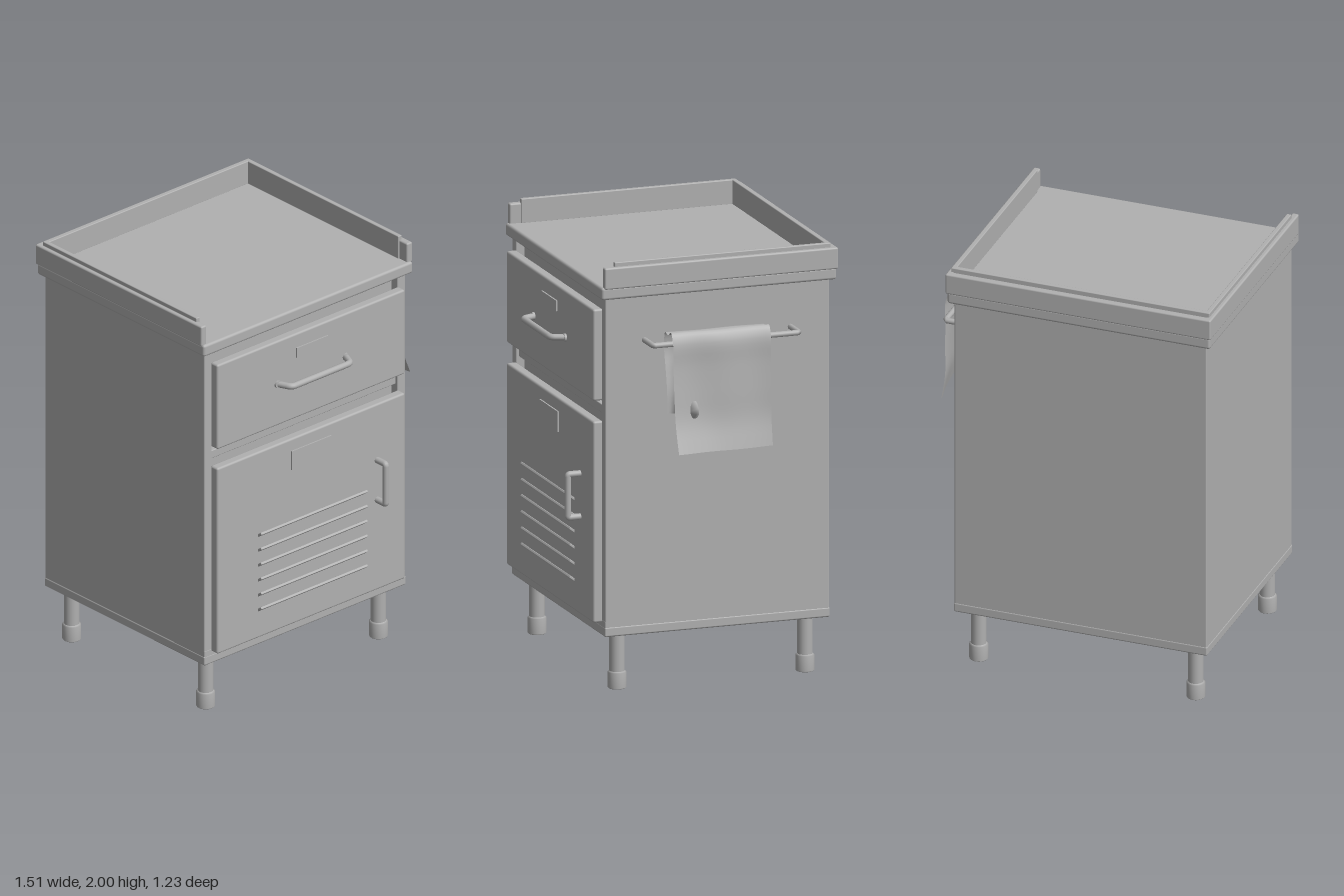
import * as THREE from 'three';
import { RoundedBoxGeometry } from 'three/addons/geometries/RoundedBoxGeometry.js';

export function createModel() {
  const root = new THREE.Group();
  root.name = 'bedsideCabinet';
  const metal = new THREE.MeshStandardMaterial({ color: 0xb0b0b0 });
  metal.name = 'grey metal';
  const cloth = new THREE.MeshStandardMaterial({ color: 0xb0b0b0, side: THREE.DoubleSide });
  cloth.name = 'grey cloth';

  const add = (name, geometry, material = metal) => {
    const mesh = new THREE.Mesh(geometry, material);
    mesh.name = name;
    root.add(mesh);
    return mesh;
  };
  // Box given by its limits, with softly rounded edges when r > 0
  const box = (name, x0, x1, y0, y1, z0, z1, r = 0.006) => {
    const s = [x1 - x0, y1 - y0, z1 - z0];
    const g = r ? new RoundedBoxGeometry(...s, 2, r) : new THREE.BoxGeometry(...s);
    const mesh = add(name, g);
    mesh.position.set((x0 + x1) / 2, (y0 + y1) / 2, (z0 + z1) / 2);
    return mesh;
  };
  // Bent rod through a few points, with short rounded corners
  const rod = (name, pts, radius, bend = 0.02) => {
    const p = pts.map((a) => new THREE.Vector3(...a));
    const path = new THREE.CurvePath();
    let from = p[0];
    for (let i = 1; i < p.length - 1; i++) {
      const a = p[i].clone().add(p[i - 1].clone().sub(p[i]).setLength(bend));
      const b = p[i].clone().add(p[i + 1].clone().sub(p[i]).setLength(bend));
      path.add(new THREE.LineCurve3(from, a));
      path.add(new THREE.QuadraticBezierCurve3(a, p[i], b));
      from = b;
    }
    path.add(new THREE.LineCurve3(from, p[p.length - 1]));
    return add(name, new THREE.TubeGeometry(path, 80, radius, 12, false));
  };

  // Cabinet shell and front frame
  box('body', -0.725, 0.49, 0.26, 1.84, -0.583, 0.45);
  box('frameLeft', 0.443, 0.49, 0.26, 1.84, 0.43, 0.49);
  box('frameRight', -0.725, -0.678, 0.26, 1.84, 0.43, 0.49);
  box('bottomRail', -0.725, 0.49, 0.26, 0.335, 0.42, 0.491);
  box('baseStrip', -0.727, 0.492, 0.262, 0.305, -0.585, 0.492);
  box('crossRail', -0.68, 0.445, 1.28, 1.32, 0.44, 0.475, 0.004);

  // Worktop with raised edges on three sides
  box('worktop', -0.75, 0.515, 1.83, 1.888, -0.61, 0.515, 0.012);
  box('rimRight', -0.755, -0.722, 1.88, 1.98, -0.615, 0.503, 0.008);
  box('rimLeft', 0.489, 0.522, 1.88, 1.98, -0.615, 0.503, 0.008);
  box('rimBack', -0.755, 0.522, 1.88, 1.98, -0.615, -0.582, 0.008);
  box('trimRight', -0.738, -0.716, 1.885, 2, -0.583, 0.45, 0.004);
  box('trimLeft', 0.483, 0.505, 1.885, 2, -0.583, 0.45, 0.004);
  box('trimBack', -0.738, 0.505, 1.885, 2, -0.583, -0.56, 0.004);

  // Drawer, door and label plates
  box('drawerFront', -0.685, 0.45, 1.35, 1.775, 0.485, 0.533, 0.01);
  box('door', -0.685, 0.45, 0.32, 1.255, 0.485, 0.533, 0.01);
  box('drawerLabel', -0.21, -0.02, 1.655, 1.705, 0.532, 0.54, 0);
  box('doorLabel', -0.24, 0, 1.1, 1.195, 0.532, 0.54, 0);

  // Slanted vent slats
  for (let i = 0; i < 6; i++) {
    const slat = box('ventSlat', -0.44, 0.205, -0.006, 0.006, -0.022, 0.022, 0.003);
    slat.position.y = 0.84 - i * 0.075;
    slat.position.z = 0.537;
    slat.rotation.x = -0.65;
  }

  // Handles
  rod('drawerHandle', [[-0.323, 1.56, 0.525], [-0.293, 1.56, 0.596],
    [0.063, 1.56, 0.596], [0.093, 1.56, 0.525]], 0.015);
  for (const x of [-0.322, 0.09]) {
    const boss = add('handleBoss', new THREE.CylinderGeometry(0.018, 0.018, 0.012, 16));
    boss.rotation.x = Math.PI / 2;
    boss.position.set(x, 1.56, 0.537);
  }
  rod('doorHandle', [[0.28, 0.975, 0.525], [0.28, 0.975, 0.592],
    [0.28, 0.775, 0.592], [0.28, 0.775, 0.525]], 0.015, 0.01);

  // Legs with wider feet
  for (const x of [-0.64, 0.405]) {
    for (const z of [0.403, -0.497]) {
      const leg = add('leg', new THREE.CylinderGeometry(0.035, 0.035, 0.21, 20));
      leg.position.set(x, 0.17, z);
      const foot = add('foot', new THREE.LatheGeometry([[0, 0], [0.04, 0], [0.04, 0], [0.043, 0.004],
        [0.043, 0.074], [0.035, 0.08]].map(([r, y]) => new THREE.Vector2(r, y)), 20));
      foot.position.set(x, 0, z);
    }
  }

  // Towel rail on the side
  rod('towelRail', [[0.48, 1.625, 0.302], [0.604, 1.625, 0.302],
    [0.604, 1.625, -0.396], [0.48, 1.625, -0.396]], 0.013, 0.008);

  // Towel: a profile over the rail, rippled along its width
  const profile = new THREE.CatmullRomCurve3([
    [0.595, 1.295], [0.59, 1.4], [0.57, 1.5], [0.548, 1.6], [0.56, 1.67], [0.6, 1.665],
    [0.635, 1.685], [0.662, 1.64], [0.667, 1.53], [0.675, 1.4], [0.685, 1.27], [0.717, 1.14],
  ].map(([x, y]) => new THREE.Vector3(x, y, 0)));
  const U = 28, V = 48;
  const towel = new THREE.PlaneGeometry(1, 1, U, V);
  const pos = towel.attributes.position;
  for (let j = 0; j <= V; j++) {
    const t = j / V;
    const p = profile.getPoint(t);
    const inner = Math.max(0, 1 - t / 0.36); // 1 at the hem behind the rail
    const outer = Math.max(0, (t - 0.65) / 0.35); // 1 at the front hem
    for (let i = 0; i <= U; i++) {
      const s = i / U;
      const z = -0.24 + 0.468 * s;
      const fold = 0.028 * inner * Math.sin(s * 17 + 1);
      const poke = 0.13 * Math.exp(-(((z - 0.14) / 0.03) ** 2)) * Math.max(0, 1 - Math.abs(p.y - 1.33) / 0.09)
        * (t < 0.4 ? 1 : 0);
      const flare = 0.03 * outer * outer * (2 * s - 1);
      pos.setXYZ(j * (U + 1) + i,
        p.x + fold + poke + flare + 0.004 * Math.sin(s * 9 + t * 5),
        p.y + 0.012 * outer * (s - 0.5),
        z + 0.006 * (outer - inner) * (s - 0.3));
    }
  }
  towel.computeVertexNormals();
  add('towel', towel, cloth);

  return root;
}
